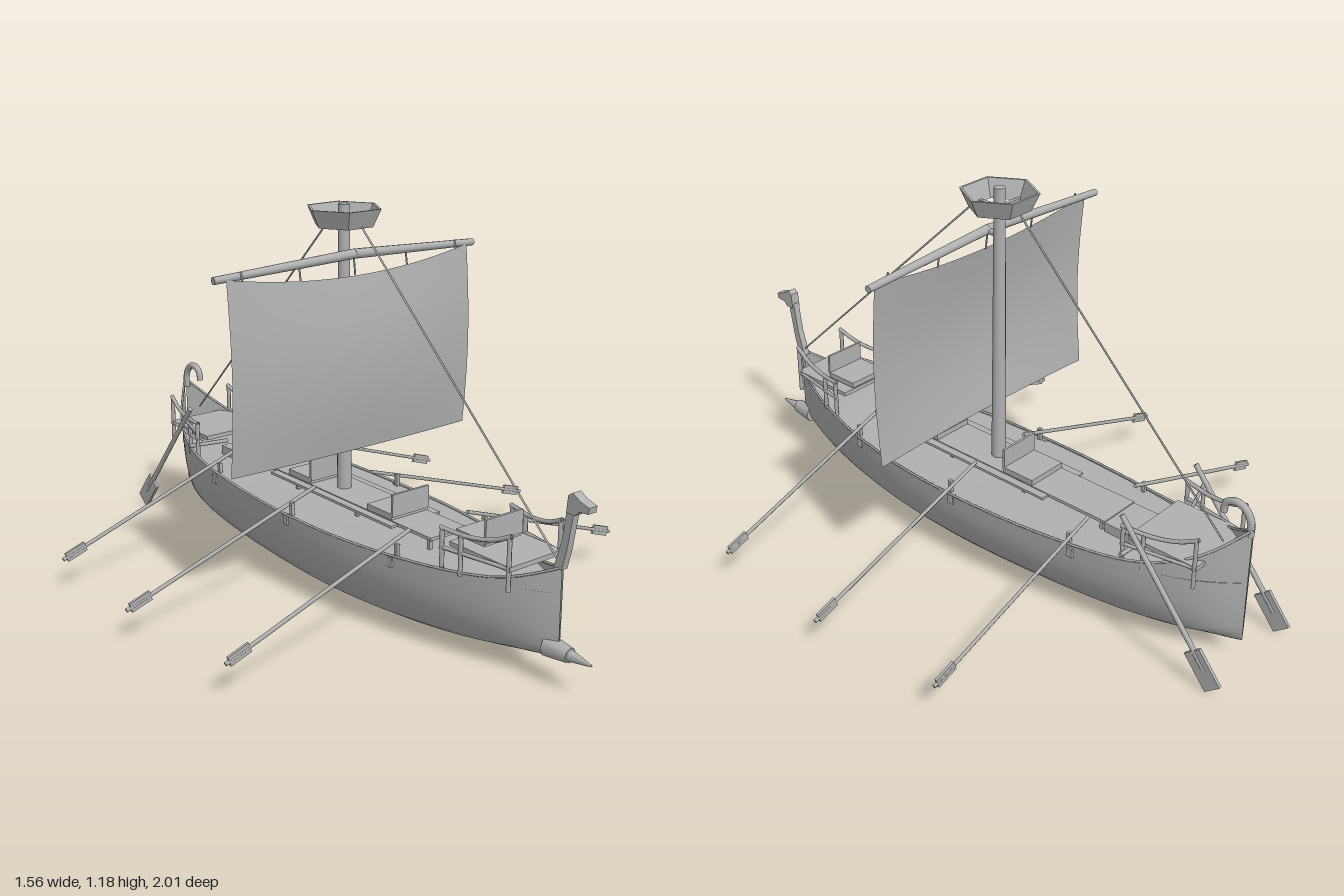
import * as THREE from 'three';

const grey = new THREE.MeshStandardMaterial({ color: 0xb0b0b0, side: THREE.DoubleSide });
grey.name = 'plain grey';
const V = (x, y, z) => new THREE.Vector3(x, y, z);

export function createModel() {
  const model = new THREE.Group();
  model.name = 'galley';

  const add = (name, geo, parent = model) => {
    const m = new THREE.Mesh(geo, grey);
    m.name = name;
    parent.add(m);
    return m;
  };
  const box = (name, w, h, d, x, y, z, parent) => {
    const m = add(name, new THREE.BoxGeometry(w, h, d), parent);
    m.position.set(x, y, z);
    return m;
  };
  // Round bar from a to b
  const bar = (name, a, b, r0, r1 = r0, sides = 8, parent = model) => {
    const m = add(name, new THREE.CylinderGeometry(r1, r0, a.distanceTo(b), sides), parent);
    m.position.copy(a).add(b).multiplyScalar(0.5);
    m.quaternion.setFromUnitVectors(V(0, 1, 0), b.clone().sub(a).normalize());
    return m;
  };
  // Grid surface: f(u, v) gives a point, u and v from 0 to 1
  const surface = (nu, nv, f) => {
    const pos = [], idx = [];
    for (let i = 0; i <= nu; i++)
      for (let j = 0; j <= nv; j++) {
        pos.push(...f(i / nu, j / nv));
        if (i < nu && j < nv) {
          const a = i * (nv + 1) + j, b = a + nv + 1;
          idx.push(a, a + 1, b, b, a + 1, b + 1);
        }
      }
    const g = new THREE.BufferGeometry();
    g.setAttribute('position', new THREE.Float32BufferAttribute(pos, 3));
    g.setIndex(idx);
    g.computeVertexNormals();
    return g;
  };

  // Hull stations: z, half width, keel height, sheer height
  const stations = [
    [-0.96, 0.003, 0.07, 0.445], [-0.87, 0.075, 0.045, 0.365], [-0.77, 0.128, 0.035, 0.315],
    [-0.65, 0.163, 0.024, 0.285], [-0.45, 0.195, 0.012, 0.27], [-0.2, 0.218, 0.004, 0.264],
    [0, 0.222, 0, 0.262], [0.2, 0.213, 0.004, 0.263], [0.4, 0.184, 0.014, 0.266],
    [0.58, 0.14, 0.03, 0.272], [0.72, 0.092, 0.05, 0.285], [0.81, 0.05, 0.068, 0.312],
    [0.885, 0.003, 0.085, 0.345],
  ];
  const sheer = new THREE.CatmullRomCurve3(stations.map(s => V(s[1], s[3], s[0])));
  const keel = new THREE.CatmullRomCurve3(stations.map(s => V(0, s[2], s[0])));
  const section = new THREE.CatmullRomCurve3([
    V(0, 0, 0), V(0.3, 0.05, 0), V(0.58, 0.13, 0), V(0.84, 0.4, 0), V(0.96, 0.7, 0), V(1, 1, 0),
  ]);
  add('hull', surface(48, 24, (u, v) => {
    const s = sheer.getPoint(u), k = keel.getPoint(u);
    const p = section.getPoint(Math.abs(v * 2 - 1));
    return [Math.sign(v - 0.5) * p.x * Math.max(s.x, 0.002), k.y + p.y * (s.y - k.y), s.z];
  }));
  add('deck', surface(48, 2, (u, v) => {
    const s = sheer.getPoint(u);
    return [(v * 2 - 1) * s.x * 0.985, Math.min(s.y - 0.004, 0.268), s.z];
  }));
  for (const side of [-1, 1]) {
    const pts = [];
    for (let i = 0; i <= 24; i++) {
      const s = sheer.getPoint(i / 24);
      pts.push(V(side * s.x, s.y, s.z));
    }
    add('gunwale', new THREE.TubeGeometry(new THREE.CatmullRomCurve3(pts), 48, 0.004, 5));
  }

  // Raised walkway on short legs
  box('walkway', 0.14, 0.01, 0.96, 0, 0.297, -0.035);
  box('wideWalkway', 0.19, 0.008, 0.6, 0, 0.295, 0);
  for (const z of [0.43, 0.1, -0.2, -0.5])
    for (const x of [-0.06, 0.06]) box('walkwayLeg', 0.012, 0.035, 0.012, x, 0.28, z);
  box('sternHatch', 0.14, 0.03, 0.11, 0, 0.283, -0.57);

  // Seats with a thin backrest
  for (const [z, y, back] of [[0.215, 0.312, 1], [-0.18, 0.312, 1], [0.605, 0.355, 1]]) {
    box('seat', 0.14, 0.018, 0.115, 0, y, z);
    box('seatBack', 0.14, 0.07, 0.008, 0, y + 0.035, z + back * 0.058);
  }

  // Rowing oars with blades and tholes
  for (const side of [-1, 1])
    for (const [z, tip, hull] of [[0.4, 0.74, 0.18], [-0.045, 0.78, 0.22], [-0.485, 0.75, 0.19]]) {
      const oar = new THREE.Group();
      oar.name = 'oar';
      model.add(oar);
      const inner = V(side * 0.11, 0.325, z), outer = V(side * tip, 0.105, z);
      bar('oarShaft', inner, outer, 0.006, 0.006, 6, oar);
      const blade = box('oarBlade', 0.07, 0.03, 0.008, 0, 0, 0, oar);
      blade.position.copy(inner).lerp(outer, 0.93);
      blade.rotation.z = Math.atan2(outer.y - inner.y, outer.x - inner.x);
      box('thole', 0.012, 0.04, 0.012, side * (hull - 0.012), 0.28, z + 0.014);
      box('oarBracket', 0.016, 0.03, 0.02, side * (hull - 0.002), 0.245, z);
    }

  // Mast, lookout ring and stays
  const mz = -0.04;
  bar('mast', V(0, 0.25, mz), V(0, 1.185, mz), 0.023, 0.017, 16);
  for (const [rt, rb] of [[0.118, 0.092], [0.11, 0.085]]) {
    const ring = add('lookoutRing', new THREE.CylinderGeometry(rt, rb, 0.055, 6, 1, true).toNonIndexed());
    ring.geometry.computeVertexNormals();
    ring.rotation.y = Math.PI / 6;
    ring.position.set(0, 1.148, mz);
  }
  const rim = add('lookoutRim', new THREE.RingGeometry(0.11, 0.118, 6));
  rim.rotation.x = -Math.PI / 2;
  rim.position.set(0, 1.1755, mz);
  box('lookoutBeam', 0.17, 0.008, 0.012, 0, 1.125, mz);
  box('lookoutBeam', 0.012, 0.008, 0.15, 0, 1.125, mz);
  bar('foreStay', V(0, 1.125, 0.045), V(0, 0.345, 0.88), 0.003, 0.003, 5);
  bar('backStay', V(0, 1.125, -0.115), V(0, 0.365, -0.87), 0.003, 0.003, 5);

  // Yard and billowed sail
  for (const side of [-1, 1])
    bar('yard', V(0, 1.043, 0.008), V(side * 0.485, 1.022, -0.004), 0.015, 0.011, 10);
  bar('yardLashing', V(0, 1.04, mz), V(0, 1.04, 0.02), 0.01);
  add('sail', surface(16, 12, (u, v) => {
    const x = u * 2 - 1, top = 0.98 + 0.042 * x * x;
    const z = 0.008 + 0.012 * (1 - x * x) + 0.03 * Math.sin(Math.PI * v) * (1 - 0.4 * x * x);
    return [x * 0.45, 0.44 + v * (top - 0.44), z];
  }));
  for (const x of [-0.4, -0.2, 0, 0.2, 0.4])
    bar('sailTie', V(x, 0.98 + 0.2 * x * x, 0.014), V(x, 1.04, 0.006), 0.003, 0.003, 5);

  // Raised platforms with railings at the bow and stern
  const platform = (name, half, zIn, zOut, y) => {
    const g = new THREE.Group();
    g.name = name;
    model.add(g);
    box('platformFloor', half * 2, 0.014, Math.abs(zOut - zIn), 0, y, (zIn + zOut) / 2, g);
    for (const side of [-1, 1]) {
      const at = (t, h) => V(side * (half + 0.035 - 0.04 * t), h, zIn + (zOut - zIn) * t);
      for (const [t, h] of [[0.03, 0.388], [0.3, 0.385], [0.97, 0.422]])
        bar('railPost', at(t, 0.265), at(t, h), 0.007, 0.007, 6, g);
      const curve = new THREE.CatmullRomCurve3([at(0, 0.388), at(0.4, 0.384), at(0.75, 0.398), at(1, 0.424)]);
      add('rail', new THREE.TubeGeometry(curve, 12, 0.007, 6), g);
      bar('lowerRail', at(0, y), at(1, y), 0.006, 0.006, 6, g);
    }
  };
  platform('bowPlatform', 0.1, 0.555, 0.79, 0.33);
  platform('sternPlatform', 0.12, -0.635, -0.865, 0.33);

  // Steering oars hung from short beams
  for (const side of [-1, 1]) {
    const x = side * 0.175, a = V(x, 0.44, -0.65), b = V(x, 0.065, -0.955);
    bar('steeringShaft', a, b, 0.008, 0.008, 8);
    const blade = box('steeringBlade', 0.01, 0.12, 0.06, x, 0.066, -0.948);
    blade.quaternion.setFromUnitVectors(V(0, 1, 0), a.clone().sub(b).normalize());
    bar('steeringBeam', V(side * 0.03, 0.3, -0.652), V(side * 0.18, 0.31, -0.655), 0.007, 0.007, 6);
    bar('steeringStrut', V(side * 0.11, 0.31, -0.68), V(x, 0.395, -0.686), 0.006, 0.006, 6);
  }

  // Ram: collar and long point
  bar('ramCollar', V(0, 0.105, 0.845), V(0, 0.105, 0.925), 0.032, 0.022, 8);
  bar('ramPoint', V(0, 0.105, 0.9), V(0, 0.105, 1), 0.022, 0.003, 8);

  // Figurehead: neck and head cut from side outlines
  const slab = (name, pts, width) => {
    const shape = new THREE.Shape(pts.map(p => new THREE.Vector2(-p[0], p[1])));
    const m = add(name, new THREE.ExtrudeGeometry(shape, { depth: width, bevelEnabled: false }));
    m.rotation.y = Math.PI / 2;
    m.position.x = -width / 2;
  };
  slab('figureheadNeck', [[0.86, 0.335], [0.89, 0.34], [0.905, 0.4], [0.925, 0.52], [0.9, 0.52], [0.885, 0.42]], 0.022);
  slab('figureheadHead', [[0.9, 0.505], [0.93, 0.505], [0.945, 0.52], [0.975, 0.522], [0.978, 0.54],
    [0.945, 0.55], [0.92, 0.565], [0.905, 0.555]], 0.03);

  // Curled stern ornament
  const curl = new THREE.CatmullRomCurve3([
    V(0, 0.42, -0.952), V(0, 0.47, -0.948), V(0, 0.5, -0.925), V(0, 0.507, -0.895),
    V(0, 0.492, -0.868), V(0, 0.462, -0.862),
  ]);
  add('sternCurl', new THREE.TubeGeometry(curl, 24, 0.011, 8));

  return model;
}
